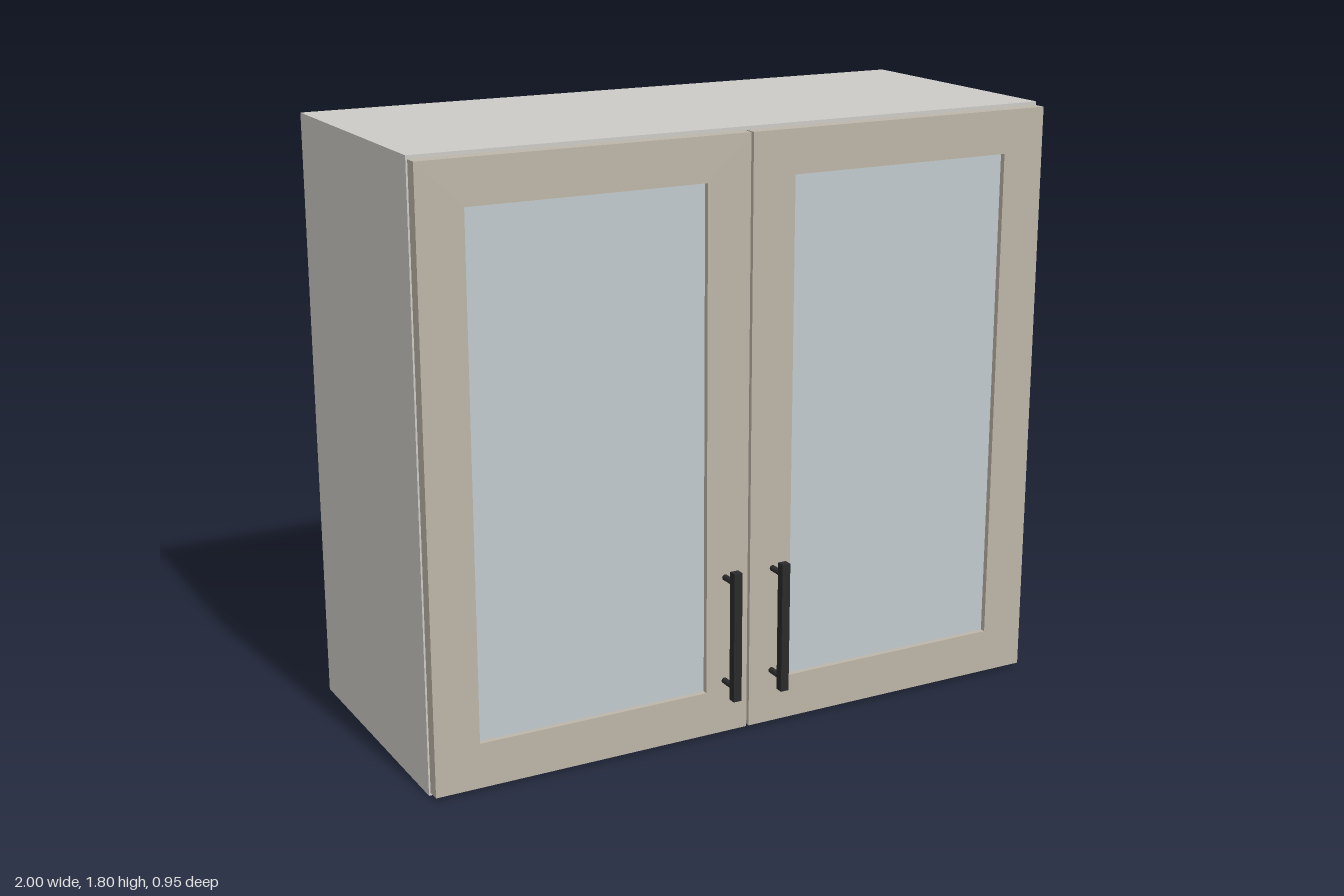
import * as THREE from 'three';

const material = (color) => new THREE.MeshStandardMaterial({ color });

export function createModel() {
  const model = new THREE.Group();
  model.name = 'wallCabinet';

  const carcassMat = material(0xcdcbc6);
  const doorMat = material(0xbdb5a8);
  const glassMat = material(0xc2cacd);
  const handleMat = material(0x2a2a2a);

  // Adds a box given its min and max corner
  const box = (parent, name, mat, [x0, y0, z0], [x1, y1, z1]) => {
    const mesh = new THREE.Mesh(new THREE.BoxGeometry(x1 - x0, y1 - y0, z1 - z0), mat);
    mesh.position.set((x0 + x1) / 2, (y0 + y1) / 2, (z0 + z1) / 2);
    mesh.name = name;
    parent.add(mesh);
  };

  // Carcass: hollow box with a slightly inset back and a middle shelf
  const H = 1.8, T = 0.04, BACK = -0.475, FRONT = 0.352;
  const carcass = new THREE.Group();
  carcass.name = 'carcass';
  model.add(carcass);
  box(carcass, 'leftSide', carcassMat, [1 - T, 0, BACK], [1, H, FRONT]);
  box(carcass, 'rightSide', carcassMat, [-1, 0, BACK], [-1 + T, H, FRONT]);
  box(carcass, 'bottomPanel', carcassMat, [-1 + T, 0, BACK], [1 - T, T, FRONT]);
  box(carcass, 'topPanel', carcassMat, [-1 + T, H - T, BACK], [1 - T, H, FRONT]);
  box(carcass, 'backPanel', carcassMat, [-1 + T, T, BACK + 0.01], [1 - T, H - T, BACK + 0.03]);
  box(carcass, 'shelf', carcassMat, [-1 + T, 0.905, BACK + 0.03], [1 - T, 0.945, FRONT - 0.04]);

  // Door frame outline with a window opening
  const rectangle = (Type, x0, y0, x1, y1) => new Type([
    new THREE.Vector2(x0, y0), new THREE.Vector2(x1, y0),
    new THREE.Vector2(x1, y1), new THREE.Vector2(x0, y1),
  ]);
  const doorBack = 0.355, doorFront = 0.395;

  for (const [side, s] of [['left', 1], ['right', -1]]) {
    const door = new THREE.Group();
    door.name = side + 'Door';
    model.add(door);
    const span = (a, b) => (s > 0 ? [a, b] : [-b, -a]);

    const [dx0, dx1] = span(0.004, 0.996);
    const [gx0, gx1] = span(0.14, 0.86);
    const outline = rectangle(THREE.Shape, dx0, 0.01, dx1, 1.79);
    outline.holes.push(rectangle(THREE.Path, gx0, 0.145, gx1, 1.66));
    const frame = new THREE.Mesh(
      new THREE.ExtrudeGeometry(outline, { depth: doorFront - doorBack, bevelEnabled: false }), doorMat);
    frame.position.z = doorBack;
    frame.name = 'doorFrame';
    door.add(frame);

    box(door, 'glassPane', glassMat, [gx0, 0.145, 0.368], [gx1, 1.66, 0.378]);

    // Bar handle on two posts
    const handle = new THREE.Group();
    handle.name = 'handle';
    door.add(handle);
    const hx = 0.08 * s;
    box(handle, 'handleBar', handleMat, [hx - 0.013, 0.137, 0.449], [hx + 0.013, 0.535, 0.475]);
    for (const y of [0.174, 0.498]) {
      const post = new THREE.Mesh(new THREE.CylinderGeometry(0.009, 0.009, 0.06, 16), handleMat);
      post.rotation.x = Math.PI / 2;
      post.position.set(hx, y, 0.424);
      post.name = 'handlePost';
      handle.add(post);
    }
  }
  return model;
}
